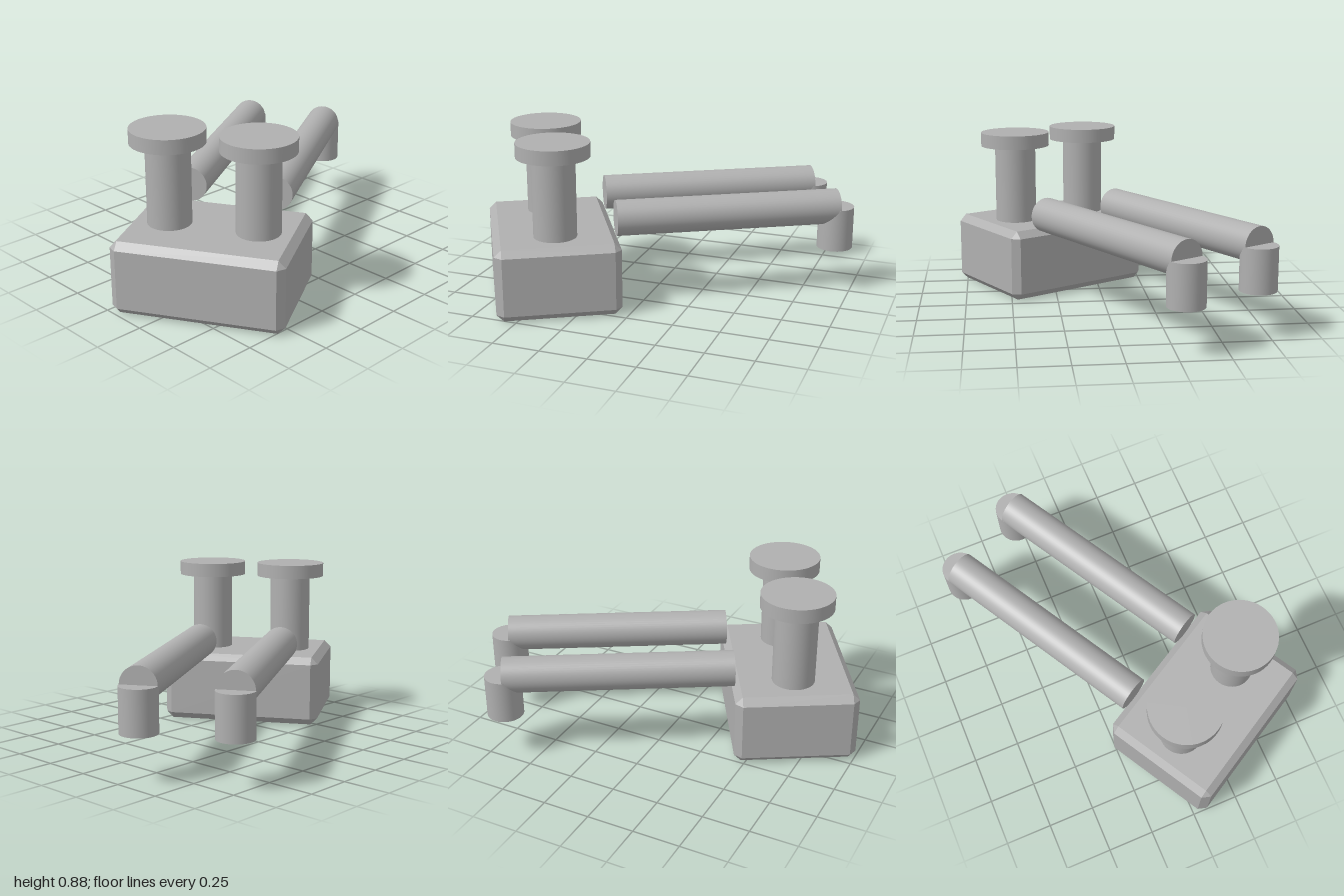
import * as THREE from 'three';
import { ConvexGeometry } from 'three/addons/geometries/ConvexGeometry.js';

// Box standing on y = 0 with every edge and corner chamfered by c
function chamferedBox(w, h, d, c) {
  const points = [];
  for (const sx of [-1, 1]) for (const sy of [-1, 1]) for (const sz of [-1, 1]) {
    for (let axis = 0; axis < 3; axis++) {
      const inset = [c, c, c];
      inset[axis] = 0;
      points.push(new THREE.Vector3(
        sx * (w / 2 - inset[0]),
        h / 2 + sy * (h / 2 - inset[1]),
        sz * (d / 2 - inset[2])));
    }
  }
  return new ConvexGeometry(points);
}

export function createModel() {
  const grey = new THREE.MeshStandardMaterial({ color: 0xb0b0b0 });
  grey.name = 'grey';

  const model = new THREE.Group();
  model.name = 'twinTap';

  // Everything is laid out straight along x, then turned as a whole
  const body = new THREE.Group();
  body.name = 'tapBody';
  body.position.set(-0.52, 0, 0.2625);
  body.rotation.y = Math.PI / 6;
  model.add(body);

  function add(name, geometry, x, y, z, parent = body) {
    const mesh = new THREE.Mesh(geometry, grey);
    mesh.name = name;
    mesh.position.set(x, y, z);
    parent.add(mesh);
    return mesh;
  }

  // Upright cylinder between two heights
  function upright(name, radius, bottom, top, x, z) {
    return add(name, new THREE.CylinderGeometry(radius, radius, top - bottom, 48),
      x, (bottom + top) / 2, z);
  }

  // Base block
  add('base', chamferedBox(0.644, 0.385, 0.876, 0.037), 0, 0, 0);

  const pipeStart = 0.315, pipeEnd = 1.508, pipeY = 0.463;
  for (const side of [-1, 1]) {
    const z = side * 0.23;
    // Handle: stem and flat cap
    upright('handleStem', 0.113, 0.37, 0.81, 0, z);
    upright('handleCap', 0.19, 0.81, 0.885, 0, z);
    // Spout: long pipe and downward outlet
    const length = pipeEnd - pipeStart;
    const pipe = add('spoutPipe', new THREE.CylinderGeometry(0.094, 0.094, length, 48),
      (pipeStart + pipeEnd) / 2, pipeY, z);
    pipe.rotation.z = -Math.PI / 2;
    upright('spoutOutlet', 0.095, 0.235, pipeY, pipeEnd, z);
  }

  return model;
}
